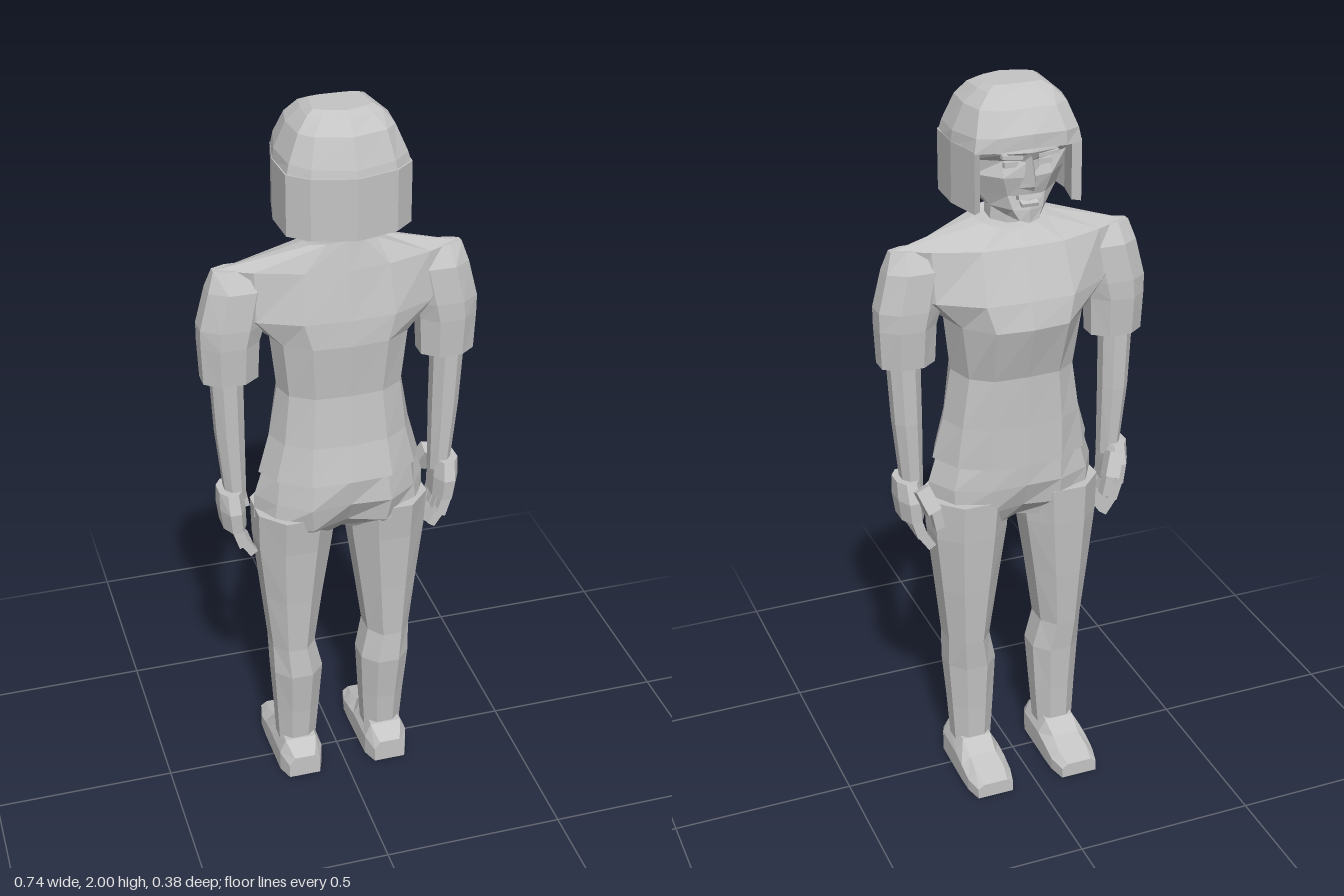
import * as THREE from 'three';

const grey = new THREE.MeshStandardMaterial({ color: 0xc4c4c4, flatShading: true, side: THREE.DoubleSide });
grey.name = 'plain grey';

// Skin a list of equal-length point rings and close both ends
function loft(rings) {
  const n = rings[0].length, pos = [], idx = [];
  rings.forEach(r => r.forEach(p => pos.push(...p)));
  for (let i = 0; i < rings.length - 1; i++) {
    for (let j = 0; j < n; j++) {
      const a = i * n + j, b = i * n + (j + 1) % n;
      idx.push(a, a + n, b, b, a + n, b + n);
    }
  }
  [0, rings.length - 1].forEach((k, end) => {
    const c = pos.length / 3, r = rings[k];
    for (let d = 0; d < 3; d++) pos.push(r.reduce((s, p) => s + p[d], 0) / n);
    for (let j = 0; j < n; j++) {
      const a = k * n + j, b = k * n + (j + 1) % n;
      idx.push(...(end ? [c, b, a] : [c, a, b]));
    }
  });
  // Turn the faces outward
  const v = i => new THREE.Vector3().fromArray(pos, i * 3);
  let volume = 0;
  for (let i = 0; i < idx.length; i += 3) volume += v(idx[i]).dot(v(idx[i + 1]).cross(v(idx[i + 2])));
  if (volume < 0) idx.reverse();
  const g = new THREE.BufferGeometry();
  g.setAttribute('position', new THREE.Float32BufferAttribute(pos, 3));
  g.setIndex(idx);
  const flat = g.toNonIndexed();
  flat.computeVertexNormals();
  return flat;
}

// Symmetric ring: half outline of [x, z] from front centre to back centre; y may slope front to back
const sym = (y0, half, y1 = y0) => {
  const pts = half.map(([x, z], i) => [x, y0 + (y1 - y0) * i / (half.length - 1), z]);
  return [...pts, ...pts.slice(1, -1).reverse().map(([x, y, z]) => [-x, y, z])];
};

// Eight-sided limb ring between x and z limits
const oct = (s, y, x0, x1, z0, z1) => {
  const c = 0.28, pts = [[c, 0], [1 - c, 0], [1, c], [1, 1 - c], [1 - c, 1], [c, 1], [0, 1 - c], [0, c]];
  return pts.map(([u, w]) => [s * (x0 + u * (x1 - x0)), y, z0 + w * (z1 - z0)]);
};

export function createModel() {
  const model = new THREE.Group();
  model.name = 'figure';
  const add = (name, geometry, x = 0, y = 0, z = 0, rx = 0, rz = 0) => {
    const m = new THREE.Mesh(geometry, grey);
    m.name = name;
    m.position.set(x, y, z);
    m.rotation.set(rx, 0, rz);
    model.add(m);
    return m;
  };
  const box = (w, h, d) => new THREE.BoxGeometry(w, h, d);

  // Shirt body from hem to collar
  add('shirt', loft([
    sym(0.98, [[0, -0.107], [0.1, -0.102], [0.18, -0.06], [0.222, 0.02], [0.19, 0.09], [0.11, 0.15], [0, 0.16]], 1.0),
    sym(1.1, [[0, -0.105], [0.1, -0.1], [0.165, -0.06], [0.192, 0.02], [0.165, 0.085], [0.1, 0.13], [0, 0.138]]),
    sym(1.24, [[0, -0.105], [0.09, -0.1], [0.145, -0.06], [0.168, 0.02], [0.15, 0.08], [0.09, 0.118], [0, 0.124]]),
    sym(1.39, [[0, -0.15], [0.1, -0.14], [0.165, -0.07], [0.185, 0.02], [0.165, 0.085], [0.1, 0.13], [0, 0.138]]),
    sym(1.46, [[0, -0.132], [0.12, -0.125], [0.23, -0.055], [0.28, 0.015], [0.23, 0.075], [0.12, 0.125], [0, 0.132]]),
    sym(1.59, [[0, -0.08], [0.11, -0.075], [0.23, -0.03], [0.32, 0.015], [0.23, 0.06], [0.11, 0.1], [0, 0.11]]),
    sym(1.63, [[0, -0.045], [0.05, -0.04], [0.085, -0.01], [0.1, 0.03], [0.085, 0.07], [0.05, 0.09], [0, 0.095]], 1.665),
  ]));

  // Trouser seat
  add('hips', loft([
    sym(0.8, [[0, -0.03], [0.06, -0.06], [0.16, -0.06], [0.2, 0.02], [0.16, 0.08], [0.06, 0.08], [0, 0.05]]),
    sym(0.85, [[0, -0.075], [0.1, -0.092], [0.19, -0.06], [0.237, 0.02], [0.2, 0.09], [0.1, 0.135], [0, 0.1]]),
    sym(0.92, [[0, -0.1], [0.1, -0.1], [0.19, -0.06], [0.235, 0.02], [0.19, 0.09], [0.11, 0.148], [0, 0.14]]),
    sym(1.0, [[0, -0.1], [0.1, -0.095], [0.17, -0.055], [0.21, 0.02], [0.18, 0.085], [0.1, 0.14], [0, 0.15]]),
  ]));

  // Neck
  add('neck', loft([oct(1, 1.6, -0.06, 0.06, -0.02, 0.078), oct(1, 1.76, -0.055, 0.055, -0.02, 0.075)]));

  // Face and skull
  add('head', loft([
    sym(1.667, [[0, -0.115], [0.025, -0.108], [0.045, -0.07], [0.04, -0.03], [0, -0.02]], 1.69),
    sym(1.7, [[0, -0.115], [0.04, -0.1], [0.08, -0.04], [0.085, 0.06], [0, 0.08]]),
    sym(1.735, [[0, -0.105], [0.05, -0.09], [0.105, -0.03], [0.11, 0.08], [0, 0.11]]),
    sym(1.785, [[0, -0.115], [0.065, -0.1], [0.12, -0.04], [0.12, 0.09], [0, 0.12]]),
    sym(1.825, [[0, -0.112], [0.06, -0.085], [0.125, -0.045], [0.12, 0.09], [0, 0.12]]),
    sym(1.85, [[0, -0.125], [0.07, -0.112], [0.13, -0.06], [0.12, 0.09], [0, 0.12]]),
    sym(1.92, [[0, -0.1], [0.07, -0.09], [0.11, -0.05], [0.1, 0.07], [0, 0.1]]),
  ]));
  add('nose', loft([
    [[-0.024, 1.757, -0.105], [0, 1.757, -0.137], [0.024, 1.757, -0.105]],
    [[-0.02, 1.772, -0.105], [0, 1.772, -0.15], [0.02, 1.772, -0.105]],
    [[-0.01, 1.84, -0.105], [0, 1.84, -0.122], [0.01, 1.84, -0.105]],
  ]));
  add('upperLip', box(0.06, 0.011, 0.02), 0, 1.733, -0.106, 0.3);
  add('lowerLip', box(0.045, 0.01, 0.02), 0, 1.717, -0.108, -0.3);

  // Hair crown with fringe
  const brim = [[0, -0.135], [0.09, -0.13], [0.142, -0.105], [0.165, 0], [0.16, 0.11], [0.11, 0.155], [0, 0.185]];
  add('hairCrown', loft([
    sym(1.865, brim, 1.84),
    sym(1.9, [[0, -0.135], [0.09, -0.128], [0.135, -0.1], [0.16, 0], [0.15, 0.105], [0.105, 0.147], [0, 0.175]], 1.88),
    sym(1.955, [[0, -0.1], [0.075, -0.097], [0.115, -0.07], [0.13, 0], [0.122, 0.088], [0.09, 0.122], [0, 0.147]]),
    sym(1.988, [[0, -0.06], [0.05, -0.06], [0.085, -0.05], [0.092, 0], [0.095, 0.07], [0.065, 0.09], [0, 0.112]]),
    sym(2.0, [[0, -0.035], [0.035, -0.035], [0.062, -0.03], [0.07, 0], [0.075, 0.055], [0.05, 0.07], [0, 0.085]]),
  ]));

  // Hair sides and back, open at the face
  const side = brim.slice(2);
  const outer = [...side, ...side.slice(0, -1).reverse().map(([x, z]) => [-x, z])];
  const inner = outer.map(([x, z]) => [x * 0.86, 0.01 + (z - 0.01) * 0.86]).reverse();
  const curtain = new THREE.ExtrudeGeometry(
    new THREE.Shape([...outer, ...inner].map(([x, z]) => new THREE.Vector2(x, -z))),
    { depth: 0.16, bevelEnabled: false });
  curtain.rotateX(-Math.PI / 2);
  add('hairSides', curtain, 0, 1.703, 0);

  for (const s of [1, -1]) {
    const label = s > 0 ? 'left' : 'right';

    // Eye and brow
    add(label + 'Eye', box(0.036, 0.014, 0.012), s * 0.045, 1.818, -0.097);
    add(label + 'Brow', box(0.055, 0.009, 0.014), s * 0.048, 1.842, -0.113, 0, s * 0.12);

    // Short sleeve
    add(label + 'Sleeve', loft([
      oct(s, 1.285, 0.22, 0.364, -0.042, 0.068),
      oct(s, 1.39, 0.215, 0.368, -0.05, 0.075),
      oct(s, 1.44, 0.2, 0.368, -0.05, 0.076),
      oct(s, 1.54, 0.18, 0.343, -0.042, 0.07),
      oct(s, 1.592, 0.2, 0.326, -0.01, 0.04),
    ]));

    // Bare arm
    add(label + 'Arm', loft([
      oct(s, 0.92, 0.258, 0.312, -0.02, 0.045),
      oct(s, 1.12, 0.258, 0.332, -0.03, 0.05),
      oct(s, 1.32, 0.258, 0.342, -0.03, 0.055),
    ]));

    // Hand with curled fingers and thumb
    add(label + 'Palm', loft([
      oct(s, 0.84, 0.262, 0.325, -0.052, 0.072),
      oct(s, 0.9, 0.264, 0.333, -0.055, 0.078),
      oct(s, 0.952, 0.268, 0.333, -0.035, 0.062),
    ]));
    for (let i = 0; i < 4; i++) {
      const z = -0.035 + i * 0.031, drop = i === 3 ? 0.01 : 0;
      add(label + 'Finger', box(0.028, 0.062, 0.026), s * 0.286, 0.822, z, 0, s * -0.3);
      add(label + 'FingerTip', box(0.024, 0.05, 0.024), s * 0.264, 0.776 + drop, z, 0, s * -0.6);
    }
    add(label + 'ThumbBase', box(0.04, 0.07, 0.04), s * 0.268, 0.91, -0.06, 0.4, s * -0.35);
    add(label + 'ThumbTip', box(0.026, 0.06, 0.028), s * 0.247, 0.862, -0.074, 0, s * -0.2);

    // Trouser leg
    add(label + 'Leg', loft([
      oct(s, 0.07, 0.075, 0.18, -0.038, 0.062),
      oct(s, 0.2, 0.066, 0.187, -0.042, 0.075),
      oct(s, 0.34, 0.058, 0.196, -0.05, 0.095),
      oct(s, 0.43, 0.078, 0.198, -0.06, 0.09),
      oct(s, 0.6, 0.055, 0.215, -0.075, 0.1),
      oct(s, 0.77, 0.03, 0.232, -0.088, 0.115),
      oct(s, 0.88, 0.02, 0.235, -0.095, 0.13),
    ]));

    // Shoe: sections [z, half width, side height, top height, top half width]
    add(label + 'Shoe', loft([
      [0.115, 0.045, 0.04, 0.065, 0.03],
      [0.07, 0.062, 0.06, 0.1, 0.045],
      [-0.04, 0.064, 0.06, 0.1, 0.042],
      [-0.09, 0.065, 0.05, 0.072, 0.038],
      [-0.14, 0.064, 0.035, 0.057, 0.042],
      [-0.19, 0.052, 0.03, 0.042, 0.035],
    ].map(([z, w, h, top, t]) =>
      [[-w, 0], [w, 0], [w, h], [t, top], [-t, top], [-w, h]].map(([x, y]) => [s * (0.128 + x), y, z]))));
  }
  return model;
}
